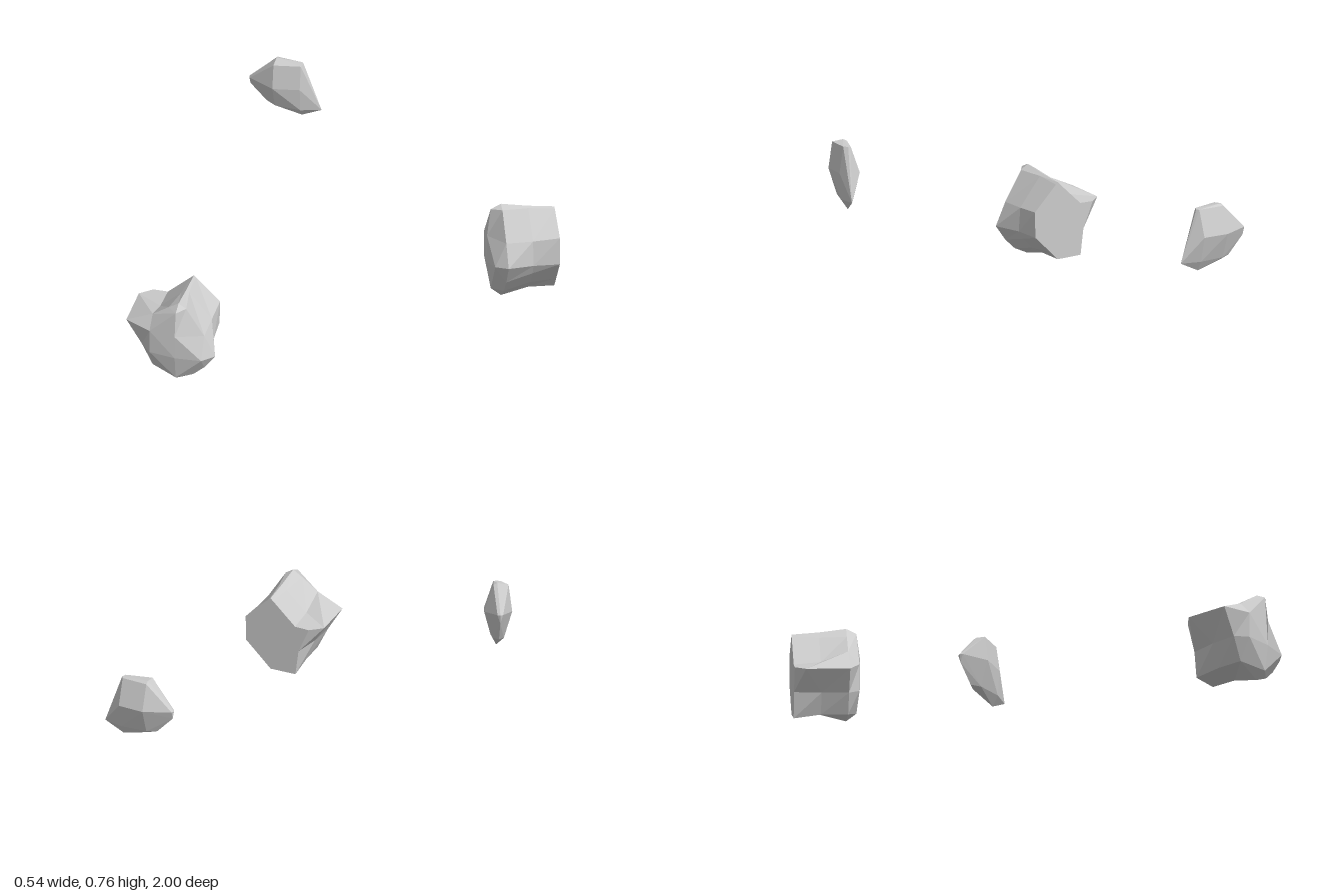
import * as THREE from 'three';
import { ConvexGeometry } from 'three/addons/geometries/ConvexGeometry.js';

const material = new THREE.MeshStandardMaterial({ color: 0xcccccc, flatShading: true });

// Skin closed rings (counterclockwise seen from +z, ordered front to back).
function loft(rings) {
  const pos = [];
  const n = rings[1].length;
  const same = (p, q) => p.every((v, k) => v === q[k]);
  const tri = (a, b, c) => {
    if (!same(a, b) && !same(b, c) && !same(a, c)) pos.push(...a, ...b, ...c);
  };
  for (let r = 0; r < rings.length - 1; r++) {
    for (let i = 0; i < n; i++) {
      const j = (i + 1) % n;
      const a = rings[r][i], b = rings[r][j], c = rings[r + 1][j], d = rings[r + 1][i];
      tri(a, c, b);
      tri(a, d, c);
    }
  }
  const g = new THREE.BufferGeometry();
  g.setAttribute('position', new THREE.Float32BufferAttribute(pos, 3));
  g.computeVertexNormals();
  return g;
}

// Give a 2D ring its depth; a third number overrides it for one point.
const ring = (z, pts) => pts.map(([x, y, pz = z]) => [x, y, pz]);
const point = (x, y, z) => Array.from({ length: 12 }, () => [x, y, z]);

export function createModel() {
  const group = new THREE.Group();
  const add = (name, geometry) => {
    const mesh = new THREE.Mesh(geometry, material);
    mesh.name = name;
    group.add(mesh);
  };

  // Large front rock: faceted nose, wide ring, narrowing body, flat back
  const R = [0.16, 0.185, 0.985], T = [0.018, 0.47, 0.98], B = [0.018, 0.042, 0.98];
  const L = [-0.125, 0.327, 0.985], N = [-0.125, 0.185, 0.985], M = [0.018, 0.327, 1];
  add('largeRock', loft([
    point(0.018, 0.185, 1),
    [R, M, T, T, T, L, L, N, B, B, B, R],
    ring(0.925, [[0.22, 0.185], [0.16, 0.31], [0.06, 0.47], [0.018, 0.497], [-0.035, 0.462], [-0.125, 0.397],
      [-0.27, 0.327], [-0.185, 0.185], [-0.125, 0.06], [0.018, 0.002], [0.1, 0.042], [0.16, 0.1]]),
    ring(0.78, [[0.17, 0.185], [0.16, 0.315], [0.035, 0.47], [0.018, 0.48], [-0.01, 0.455], [-0.125, 0.342],
      [-0.27, 0.327, 0.69], [-0.175, 0.185], [-0.125, 0.06], [0.018, 0.04], [0.085, 0.08], [0.145, 0.14]]),
    ring(0.635, [[0.16, 0.185], [0.163, 0.327], [0.03, 0.459], [0.018, 0.47], [0.005, 0.457], [-0.125, 0.33],
      [-0.205, 0.327], [-0.145, 0.185], [-0.127, 0.042], [0.018, 0.042], [0.065, 0.09], [0.112, 0.137]]),
    point(0.018, 0.22, 0.635),
  ]));

  // Small thin rock at the back: rim, then front and back bulges
  const chips = [
    [0.018, 0.765, -0.93], [0.17, 0.755, -0.925], [0.216, 0.612, -0.925], [0.268, 0.47, -0.925],
    [0.16, 0.415, -0.925], [0.018, 0.452, -0.925], [-0.035, 0.47, -0.925], [-0.125, 0.567, -0.925],
    [-0.132, 0.612, -0.925],
    [0.018, 0.755, -0.87], [0.16, 0.755, -0.9], [0.16, 0.612, -0.88], [0.018, 0.612, -0.85],
    [0.16, 0.47, -0.89], [0.018, 0.47, -0.895], [-0.125, 0.612, -0.91],
    [0.018, 0.755, -0.95], [0.16, 0.755, -0.94], [0.16, 0.612, -0.99], [0.018, 0.612, -1],
    [0.16, 0.47, -0.955], [0.018, 0.47, -0.95], [-0.125, 0.612, -0.94],
  ];
  add('smallRock', new ConvexGeometry(chips.map((p) => new THREE.Vector3(...p))));

  return group;
}
